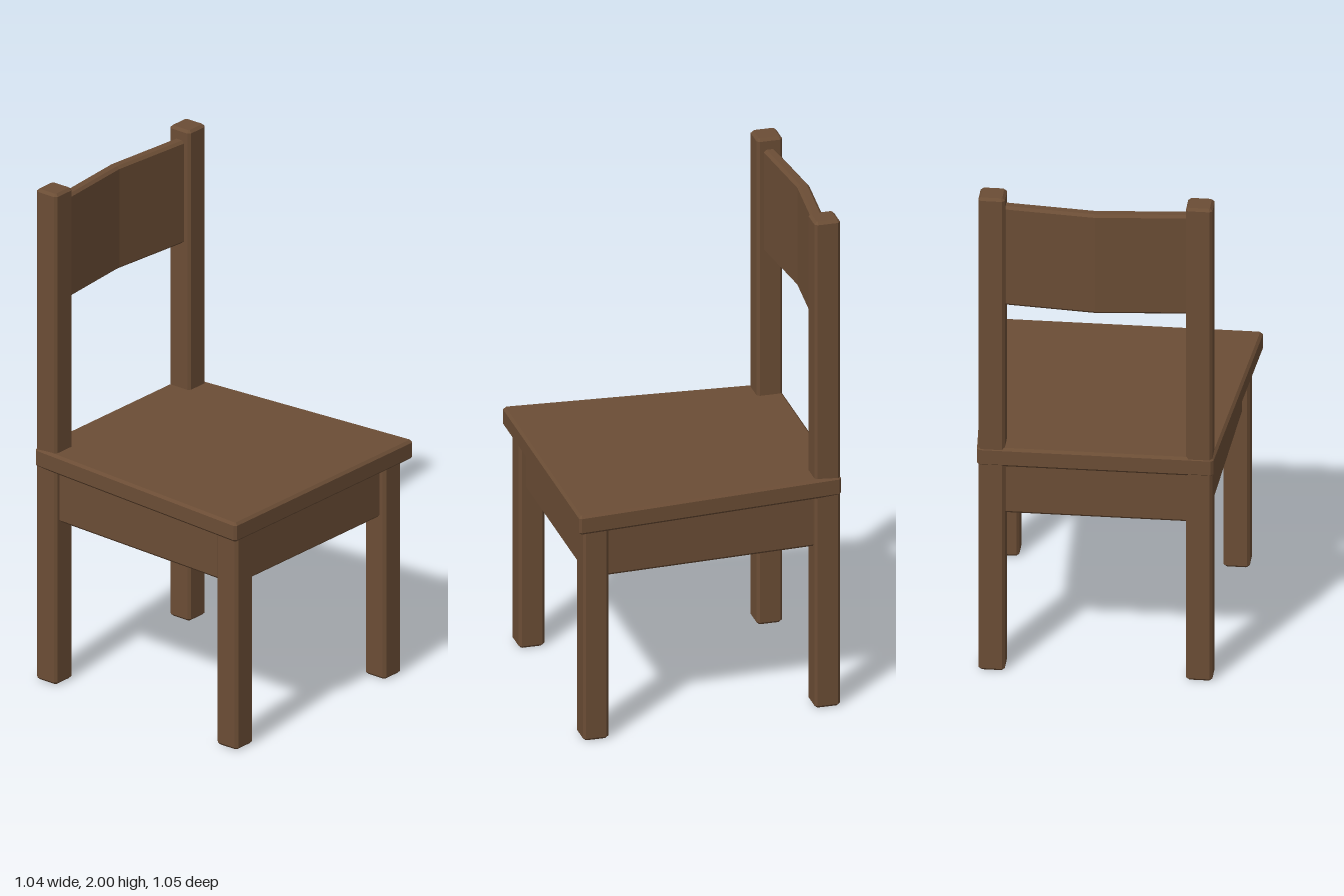
import * as THREE from 'three';

const wood = new THREE.MeshStandardMaterial({ color: 0x6b4d35, flatShading: true });
const BEVEL = 0.01;

// Cuts each distinct corner of a footprint; shallow bends stay sharp.
function chamfer(points, cut) {
  const out = [];
  points.forEach((p, i) => {
    const a = points.at(i - 1).clone().sub(p).normalize();
    const b = points[(i + 1) % points.length].clone().sub(p).normalize();
    if (a.dot(b) < -0.8) out.push(p);
    else out.push(a.multiplyScalar(cut).add(p), b.multiplyScalar(cut).add(p));
  });
  return out;
}

// Bevelled upright slab from a footprint of [x, z] corners.
function slab(name, corners, y0, y1) {
  const points = corners.map(([x, z]) => new THREE.Vector2(x, -z));
  const geometry = new THREE.ExtrudeGeometry(new THREE.Shape(chamfer(points, BEVEL)), {
    depth: y1 - y0 - 2 * BEVEL,
    bevelThickness: BEVEL,
    bevelSize: BEVEL,
    bevelOffset: -BEVEL,
    bevelSegments: 1,
  });
  geometry.rotateX(-Math.PI / 2).translate(0, y0 + BEVEL, 0);
  const mesh = new THREE.Mesh(geometry, wood);
  mesh.name = name;
  return mesh;
}

const rect = (x0, x1, z0, z1) => [[x0, z1], [x1, z1], [x1, z0], [x0, z0]];

export function createModel() {
  const chair = new THREE.Group();
  chair.name = 'chair';

  // Seat, wider at the front
  chair.add(slab('seat', [[-0.523, 0.522], [0.523, 0.522], [0.445, -0.523], [-0.445, -0.523]], 0.867, 0.945));

  // Legs and side aprons, mirrored
  for (const s of [1, -1]) {
    const side = s > 0 ? 'left' : 'right';
    const mirror = (corners) => {
      const m = corners.map(([x, z]) => [s * x, z]);
      return s > 0 ? m : m.reverse();
    };
    chair.add(
      slab(side + 'BackPost', mirror(rect(0.341, 0.441, -0.52, -0.42)), 0, 2),
      slab(side + 'FrontLeg', mirror(rect(0.384, 0.484, 0.395, 0.495)), 0, 0.868),
      slab(side + 'Apron', mirror([[0.407, 0.42], [0.457, 0.42], [0.418, -0.445], [0.368, -0.445]]), 0.658, 0.868),
    );
  }

  // Front and back aprons
  chair.add(
    slab('frontApron', rect(-0.41, 0.41, 0.42, 0.47), 0.658, 0.868),
    slab('backApron', rect(-0.37, 0.37, -0.495, -0.445), 0.658, 0.868),
  );

  // Backrest, bent backwards at the middle
  chair.add(slab('backrest', [
    [-0.365, -0.444], [0, -0.478], [0.365, -0.444],
    [0.365, -0.491], [0, -0.525], [-0.365, -0.491],
  ], 1.537, 1.955));

  return chair;
}
